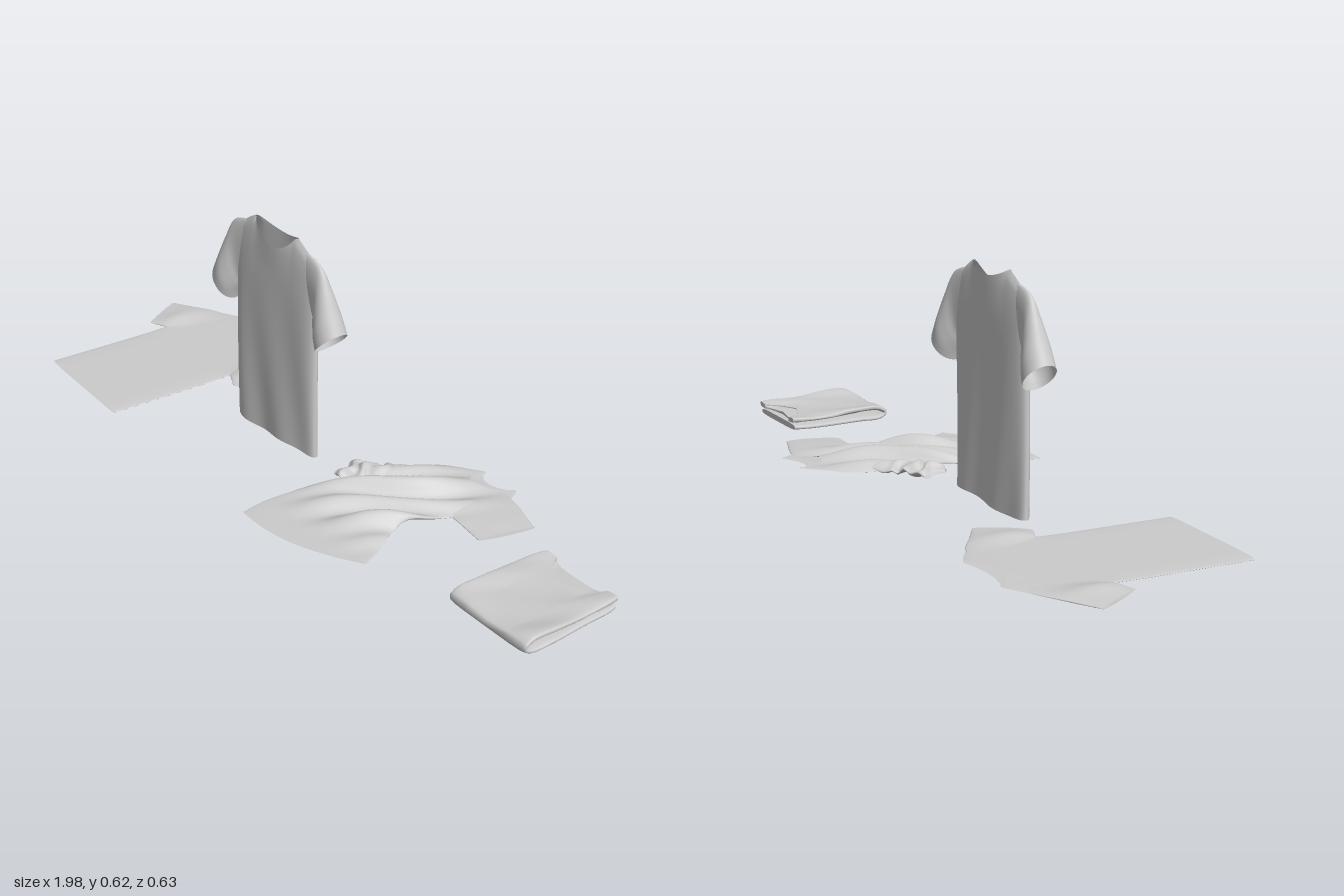
import * as THREE from 'three';
import { mergeVertices } from 'three/addons/utils/BufferGeometryUtils.js';

const cloth = new THREE.MeshStandardMaterial({ color: 0xcccccc, side: THREE.DoubleSide });
const V = (x, y, z) => new THREE.Vector3(x, y, z);
const PEAK = 0.615, NECK = 0.5; // shoulder height and neck half width (share of the body)

// Smooth sheet from a rule fn(a, b) with a and b in 0..1
function sheet(name, na, nb, fn) {
  const pos = [], index = [];
  for (let j = 0; j <= nb; j++) for (let i = 0; i <= na; i++) pos.push(...fn(i / na, j / nb).toArray());
  for (let j = 0; j < nb; j++) for (let i = 0; i < na; i++) {
    const k = j * (na + 1) + i, m = k + na + 1;
    index.push(k, k + 1, m, k + 1, m + 1, m);
  }
  let geo = new THREE.BufferGeometry();
  geo.setAttribute('position', new THREE.Float32BufferAttribute(pos, 3));
  geo.setIndex(index);
  geo = mergeVertices(geo, 1e-6);
  geo.computeVertexNormals();
  const mesh = new THREE.Mesh(geo, cloth);
  mesh.name = name;
  return mesh;
}

// Upper outline of a panel: shoulder slope and neckline
function topLine(u, front) {
  const a = Math.abs(u);
  if (a > NECK) return PEAK - 0.055 * ((a - NECK) / (1 - NECK)) ** 1.2;
  return PEAK - (front ? 0.052 : 0.024) * (1 - (a / NECK) ** 2) ** 0.75;
}

// Front or back panel; u0 and v0..v1 limit it to a band, grow lifts it outwards
function panel(name, shirt, front, u0 = 1, v0 = 0, v1 = 1, grow = 0) {
  const s = front ? 1 : -1;
  return sheet(name, 56, v1 - v0 < 0.5 ? 4 : 48, (a, b) => {
    const u = u0 * Math.sin((a - 0.5) * Math.PI), v = v0 + (v1 - v0) * b;
    const y = v * topLine(u, front);
    const edge = Math.sqrt(Math.max(0, 1 - u ** 6));
    const close = Math.sqrt(Math.max(0, 1 - v ** 8 * Math.min(1, Math.abs(u) / NECK) ** 2));
    return shirt.map(u * shirt.width, y, s * (shirt.depth + grow) * edge * close);
  });
}

// Sleeve through stations [topX, topY, bottomX, bottomY, halfThickness]
function sleeve(name, stations, map, sx = 1, from = 0, grow = 0) {
  const top = new THREE.CatmullRomCurve3(stations.map(p => V(p[0], p[1], p[4])));
  const low = new THREE.CatmullRomCurve3(stations.map(p => V(p[2], p[3], 0)));
  return sheet(name, 36, from ? 3 : 24, (a, b) => {
    const t = from + (1 - from) * b, p = top.getPoint(t), q = low.getPoint(t);
    const c = (1 + Math.cos(a * Math.PI * 2)) / 2;
    const z = (p.z + grow) * Math.sin(a * Math.PI * 2);
    return map(sx * (q.x + (p.x - q.x) * c), q.y + (p.y - q.y) * c, z);
  });
}

// Whole shirt: two panels, neckbands, hems and two sleeves with cuffs
function makeShirt(name, shirt) {
  const g = new THREE.Group();
  g.name = name;
  for (const front of [true, false]) {
    const n = front ? 'front' : 'back';
    g.add(panel(n + 'Panel', shirt, front));
    g.add(panel(n + 'Neckband', shirt, front, NECK, 0.972, 1, 0.0012));
    g.add(panel(n + 'Hem', shirt, front, 1, 0, 0.035, 0.0008));
  }
  for (const [side, stations, sx] of [['left', shirt.left, 1], ['right', shirt.right, shirt.right === shirt.left ? -1 : 1]]) {
    const map = shirt.sleeveMap || shirt.map;
    g.add(sleeve(side + 'Sleeve', stations, map, sx));
    g.add(sleeve(side + 'Cuff', stations, map, sx, 0.9, 0.0008));
  }
  return g;
}

// Upright shirt with soft vertical folds and hanging sleeves
function standingShirt() {
  const arm = [[0.12, 0.592, 0.15, 0.43, 0.012], [0.19, 0.568, 0.168, 0.405, 0.019], [0.222, 0.515, 0.178, 0.378, 0.031],
    [0.247, 0.46, 0.188, 0.354, 0.041], [0.272, 0.408, 0.195, 0.333, 0.043]];
  const g = makeShirt('standingShirt', {
    width: 0.176, depth: 0.021, left: arm, right: arm,
    map: (x, y, z) => {
      const low = Math.max(0, 1 - y / 0.5);
      return V(x, y + 0.008 + 0.006 * low * Math.sin(x * 14),
        z + 0.004 * low + 0.004 * low * Math.sin(x * 38 + y * 6));
    },
  });
  g.position.x = -0.165;
  return g;
}

// Shirt spread flat on the ground
function flatShirt() {
  const arm = [[0.12, 0.592, 0.15, 0.41, 0.003], [0.195, 0.558, 0.17, 0.385, 0.005],
    [0.25, 0.522, 0.2, 0.371, 0.009], [0.315, 0.482, 0.238, 0.355, 0.004]];
  const g = makeShirt('flatShirt', {
    width: 0.184, depth: 0.004, left: arm, right: arm,
    map: (x, y, z) => V(x, 0.014 + z + 0.006 * Math.exp(-(((Math.abs(x) - 0.2) / 0.035) ** 2) - ((y - 0.45) / 0.08) ** 2), 0.305 - y),
  });
  g.rotation.y = -0.045;
  g.position.x = -0.682;
  return g;
}

// Shirt dropped on the ground: twisted between two edge curves, with diagonal folds
function crumpledShirt() {
  const curve = pts => new THREE.CatmullRomCurve3(pts.map(([x, z]) => V(x, 0, z)));
  const right = curve([[0.115, 0.315], [0.105, 0.23], [0.13, 0.1], [0.18, 0], [0.19, -0.13], [0.285, -0.31]]);
  const left = curve([[0.485, 0.205], [0.455, 0.135], [0.415, 0.05], [0.445, -0.06], [0.475, -0.14], [0.51, -0.315]]);
  const W = 0.18, D = 0.006;
  const height = (x, z, up) => {
    const env = Math.exp(-(((x - 0.29) / 0.17) ** 4) - ((z + 0.03) / 0.2) ** 4);
    const s = x * 0.82 + z * 0.57 + 0.012 * Math.sin(z * 17);
    const fold = 0.5 + 0.32 * Math.sin(s * 74 + 0.6) + 0.18 * Math.sin(s * 41 - z * 9);
    return 0.009 + 0.046 * env * fold * (0.3 + 0.7 * up) + 0.006 * up;
  };
  return makeShirt('crumpledShirt', {
    width: W, depth: D,
    map: (x, y, z) => {
      const t = Math.min(1, y / PEAK), k = (x / W + 1) / 2;
      const p = right.getPoint(t).lerp(left.getPoint(t), k);
      p.z += 0.035 * Math.sin(Math.PI * k) * (1 - t) ** 6;
      p.y = height(p.x, p.z, (z / D + 1) / 2);
      return p;
    },
    sleeveMap: (x, y, z) => {
      const bunch = Math.max(0, 1 - Math.abs(x - 0.14) / 0.09);
      return V(x + 0.012 * bunch * Math.sin(y * 90), height(x, -y, 0.5) + z + 0.006 * bunch * (1 + Math.sin(x * 150 + y * 60)), -y);
    },
    left: [[0.44, 0.28, 0.42, 0.1, 0.005], [0.505, 0.267, 0.465, 0.09, 0.008], [0.555, 0.25, 0.52, 0.086, 0.008], [0.612, 0.23, 0.57, 0.08, 0.005]],
    right: [[0.26, 0.22, 0.23, 0.02, 0.006], [0.19, 0.14, 0.18, 0, 0.01], [0.14, 0.09, 0.155, -0.025, 0.011], [0.095, 0.06, 0.12, -0.02, 0.008]],
  });
}

// Shirt folded in half: a thick padded layer bent over at the front
function foldedShirt() {
  const g = new THREE.Group();
  g.name = 'foldedShirt';
  const path = new THREE.CatmullRomCurve3([[-0.15, 0.014], [-0.05, 0.014], [0.06, 0.014], [0.125, 0.015], [0.144, 0.028],
    [0.125, 0.042], [0.05, 0.041], [-0.05, 0.037], [-0.155, 0.036]].map(([z, y]) => V(0, y, z)));
  const sgnPow = (c, p) => Math.sign(c) * Math.abs(c) ** p;
  const neckDip = (x, up) => (up ? 0.065 : 0.02) * Math.max(0, 1 - (x / 0.085) ** 2) ** 0.75;
  // a runs round the cross-section, t along the fold, size shrinks the section for end caps
  const point = (a, t, size = 1, grow = 0) => {
    const p = path.getPointAt(t), d = path.getTangentAt(t);
    const c = Math.cos(a * Math.PI * 2), s = Math.sin(a * Math.PI * 2);
    const n = -sgnPow(s, 0.6) * (0.0085 * size + grow);
    const x = sgnPow(c, 0.35) * (0.132 - 0.01 * Math.abs(2 * t - 1) ** 12);
    const y = p.y + n * d.z, z = p.z - n * d.y;
    const end = Math.max(0, (t - 0.72) / 0.28);
    const sag = 1 + (y > 0.025 ? 0.3 : 0) * ((x / 0.135) ** 2 - 0.65) * (y - 0.025) / 0.025;
    const ripple = y > 0.035 ? 0.002 * Math.sin(x * 45 + z * 30) : 0;
    return V(x + 0.003 * Math.sin(z * 22), y * sag + ripple, z + end * neckDip(x, n < 0));
  };
  g.add(sheet('foldedBody', 64, 80, (a, b) => point(a, b)));
  g.add(sheet('lowerEnd', 64, 3, (a, b) => point(a, 0, b)));
  g.add(sheet('collarEnd', 64, 3, (a, b) => point(a, 1, b)));
  g.add(sheet('frontNeckband', 32, 3, (a, b) => {
    const p = point(0.555 + 0.39 * a, 0.965 + 0.035 * b, 1, 0.0012);
    return p;
  }));
  g.position.x = 0.857;
  return g;
}

export function createModel() {
  const model = new THREE.Group();
  model.name = 'shirts';
  model.add(flatShirt(), standingShirt(), crumpledShirt(), foldedShirt());
  return model;
}
